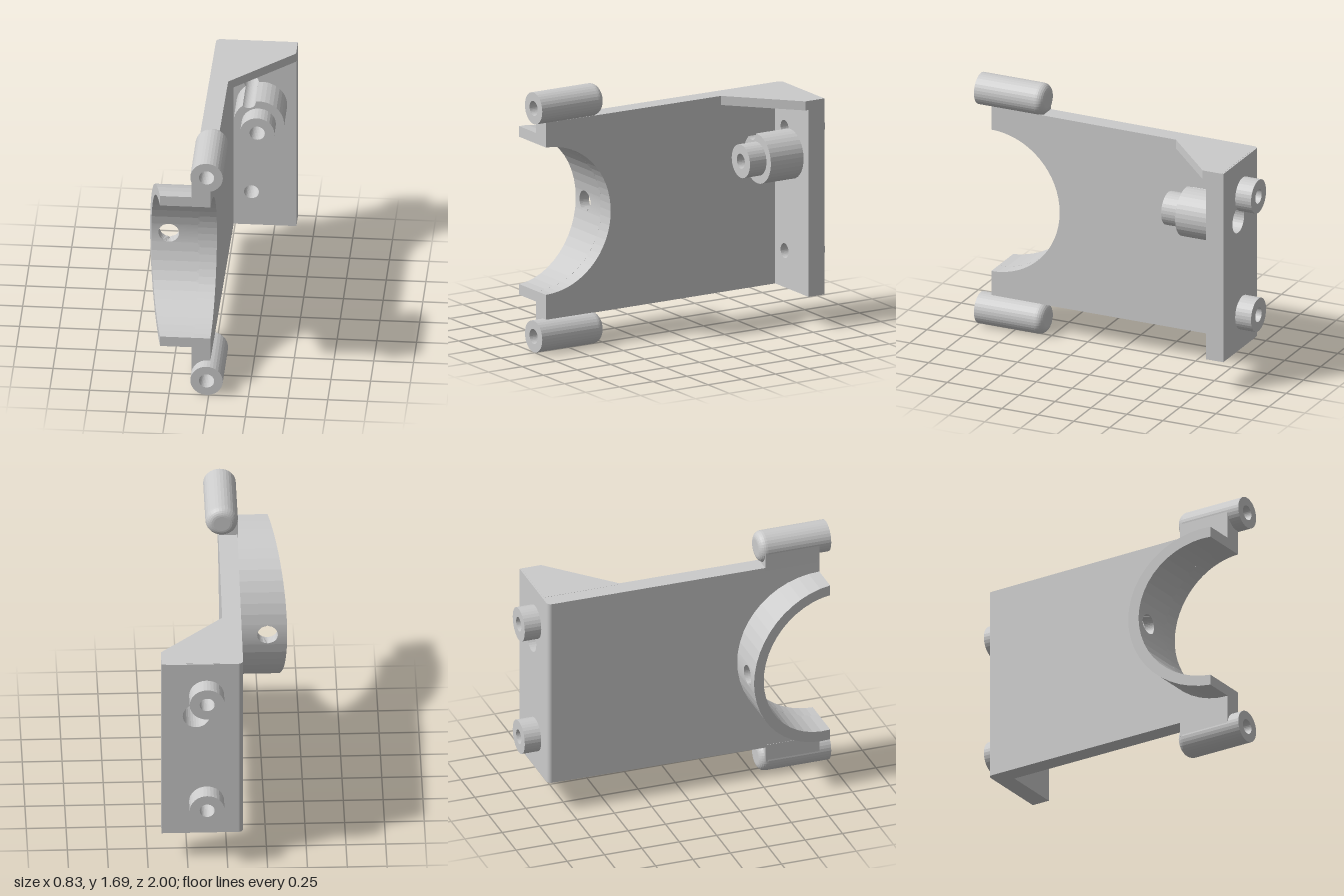
import * as THREE from 'three';

const CY = 0.843, CZ = 0.92, RI = 0.478, RO = 0.547; // half-round cradle
const PI = Math.PI;

export function createModel() {
  const model = new THREE.Group();
  const mat = new THREE.MeshStandardMaterial({ color: 0xcccccc, flatShading: true });
  const add = (name, geo) => {
    const m = new THREE.Mesh(geo, mat);
    m.name = name;
    model.add(m);
    return m;
  };
  const poly = (pts) => new THREE.Shape(pts.map(([x, y]) => new THREE.Vector2(x, y)));
  const disc = (x, y, r) => new THREE.Shape().absarc(x, y, r, 0, 2 * PI, false);
  const drill = (shape, x, y, r) => {
    shape.holes.push(new THREE.Path().absarc(x, y, r, 0, 2 * PI, true));
    return shape;
  };
  const extrude = (shape, from, to) =>
    new THREE.ExtrudeGeometry(shape, { depth: to - from, bevelEnabled: false, curveSegments: 16 })
      .translate(0, 0, from);
  const box = (x0, x1, y0, y1, z0, z1) =>
    new THREE.BoxGeometry(x1 - x0, y1 - y0, z1 - z0)
      .translate((x0 + x1) / 2, (y0 + y1) / 2, (z0 + z1) / 2);

  // Side plate with a half-round notch, drawn in (-z, y); leans slightly in x
  const side = poly([[-CZ, 0.2], [0.86, 0.207], [0.86, 1.478], [-CZ, 1.48]]);
  side.lineTo(-CZ, CY + RI);
  side.absarc(-CZ, CY, RI, PI / 2, -PI / 2, true);
  const sideGeo = extrude(side, -0.1075, 0.0115).rotateY(PI / 2);
  const p = sideGeo.attributes.position;
  for (let i = 0; i < p.count; i++) p.setX(i, p.getX(i) - 0.0083 * p.getZ(i));
  sideGeo.computeVertexNormals();
  add('sidePlate', sideGeo);

  // Half-round cradle wall with a slanted rim, as two bands that part around the hole
  const HX = -0.295, HR = 0.065;
  const angles = [];
  for (let i = 0; i <= 24; i++) {
    const a = -PI / 2 + (PI * i) / 24;
    if (Math.abs(a) > 0.15) angles.push(a);
  }
  for (let i = 0; i <= 24; i++) angles.push(-0.137 * Math.cos((PI * i) / 24));
  angles.sort((a, b) => a - b);
  const gap = (r, a) => Math.sqrt(Math.max(0, HR * HR - (r * Math.sin(a)) ** 2));
  const rim = (r, a) => -0.418 + (CZ - r * Math.cos(a) - 0.375) * 0.193;
  const band = (xa, xb) => {
    const pos = [], idx = [], n = angles.length;
    for (const a of angles)
      for (const [r, f] of [[RI, xa], [RO, xa], [RO, xb], [RI, xb]])
        pos.push(f(r, a), CY + r * Math.sin(a), CZ - r * Math.cos(a));
    for (let i = 0; i < n - 1; i++)
      for (let j = 0; j < 4; j++) {
        const a = i * 4 + j, b = i * 4 + ((j + 1) % 4);
        idx.push(a, a + 4, b + 4, a, b + 4, b);
      }
    const e = (n - 1) * 4;
    idx.push(0, 1, 2, 0, 2, 3, e, e + 2, e + 1, e, e + 3, e + 2);
    const g = new THREE.BufferGeometry();
    g.setAttribute('position', new THREE.Float32BufferAttribute(pos, 3));
    g.setIndex(idx);
    g.computeVertexNormals();
    return g;
  };
  add('cradleOuterBand', band(rim, (r, a) => HX - gap(r, a)));
  add('cradleInnerBand', band((r, a) => HX + gap(r, a), () => -0.1));

  // Hinge pegs: rounded at the back, blind bore at the front, with a neck to the plate
  const pegProfile = [[0, 0.53]];
  for (let i = 0; i <= 6; i++) {
    const t = (PI / 2) * (i / 6);
    pegProfile.push([0.0525 + 0.05 * Math.sin(t), 0.58 - 0.05 * Math.cos(t)]);
  }
  pegProfile.push([0.1025, 1], [0.048, 1], [0.048, 0.62], [0, 0.62]);
  const pegPts = pegProfile.map(([r, z]) => new THREE.Vector2(r, z));
  for (const [label, y] of [['upper', 1.583], ['lower', 0.1025]]) {
    add(label + 'Peg', new THREE.LatheGeometry(pegPts, 32).rotateX(PI / 2).translate(-0.0135, y, 0));
    // two strips beside the bore keep it open
    const [y0, y1] = y > 1 ? [1.46, 1.53] : [0.155, 0.22];
    add(label + 'Neck', box(-0.115, 0.004, y0, y1, 0.56, CZ));
    add(label + 'NeckSide', box(-0.115, -0.066, Math.min(y, y0), Math.max(y, y1), 0.56, CZ));
  }

  // Back plate with screw holes, and its rounded corner
  const BX = 0.195, BY = 1.09, SX = 0.13, SR = 0.047, screwY = [0.445, 1.245];
  const back = poly([[-0.07, 0.207], [0.413, 0.207], [0.413, 1.478], [-0.07, 1.478]]);
  for (const y of screwY) drill(back, SX, y, SR);
  drill(back, BX, BY, 0.085);
  add('backPlate', extrude(back, -0.89, -0.77));
  const corner = poly([[-0.1, 0.77], [-0.07, 0.77], [-0.07, 0.89]]);
  corner.absarc(-0.07, 0.86, 0.03, PI / 2, PI, false);
  add('backCorner', extrude(corner, 0.207, 1.478).rotateX(-PI / 2));

  // Top gusset
  const gusset = poly([[0, 0.37], [0.015, 0.37], [0.413, 0.747], [0.413, 0.88], [0, 0.88]]);
  add('topGusset', extrude(gusset, 1.42, 1.479).rotateX(-PI / 2));

  // Rear standoffs
  for (const y of screwY)
    add('standoff', extrude(drill(disc(SX, y, 0.11), SX, y, SR), -1, -0.885));

  // Stepped boss: the upper screw hole bites into its large step
  const R = 0.16, dx = SX - BX, dy = screwY[1] - BY, d = Math.hypot(dx, dy), f = Math.atan2(dy, dx);
  const al = Math.acos((R * R + d * d - SR * SR) / (2 * R * d));
  const be = Math.acos((SR * SR + d * d - R * R) / (2 * SR * d));
  const bossShape = (bore) => {
    const s = new THREE.Shape();
    s.absarc(BX, BY, R, f + al, f - al + 2 * PI, false);
    s.absarc(SX, screwY[1], SR, f + PI + be, f + PI - be, true);
    return drill(s, BX, BY, bore);
  };
  add('bossBase', extrude(bossShape(0.085), -0.775, -0.6));
  add('bossFloor', extrude(bossShape(0.048), -0.6, -0.527));
  add('bossTip', extrude(drill(disc(BX, BY, 0.108), BX, BY, 0.048), -0.53, -0.405));

  return model;
}
